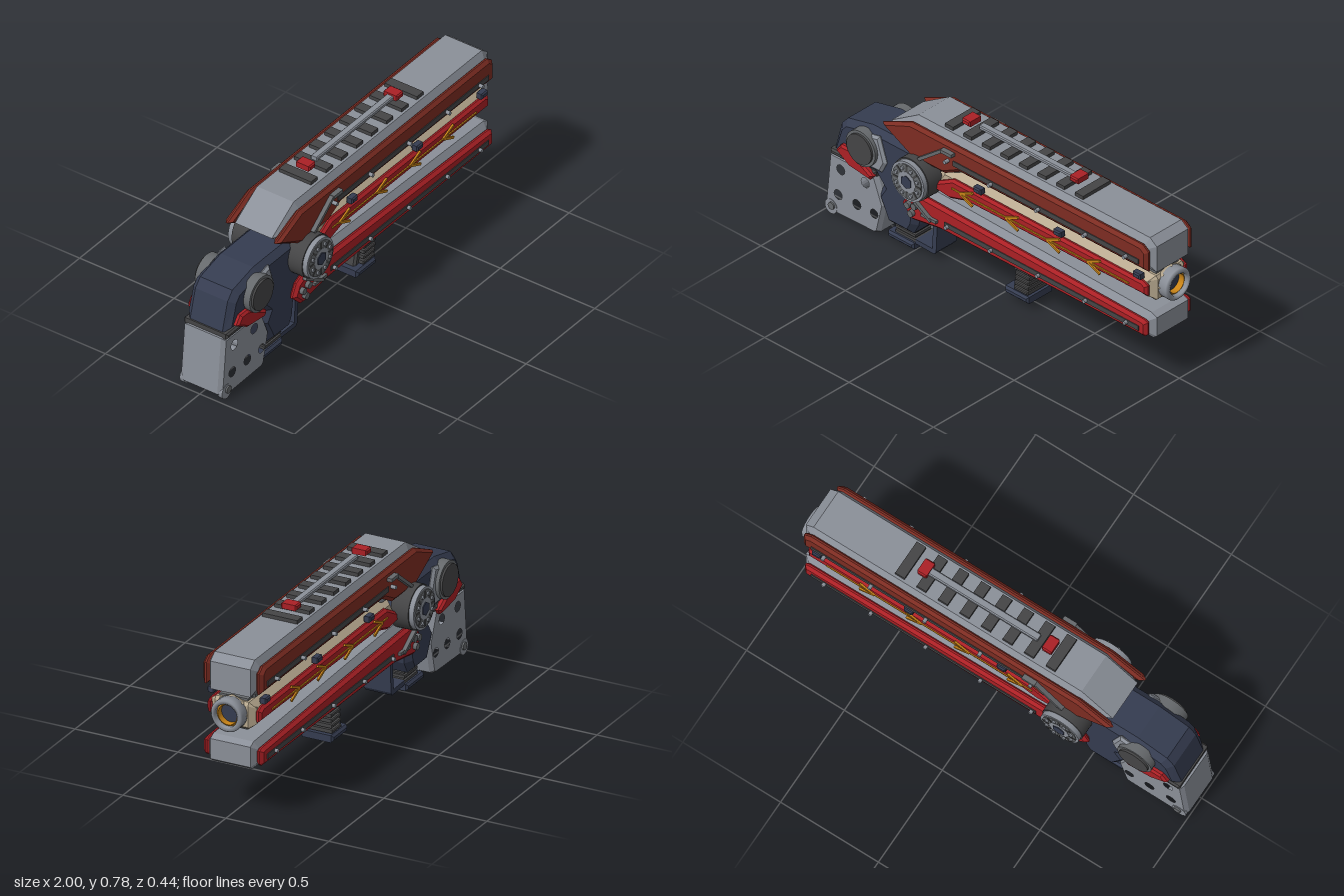
import * as THREE from 'three';

const paint = (name, color) => Object.assign(new THREE.MeshStandardMaterial({ color }), { name });

export function createModel() {
  const root = new THREE.Group();
  root.name = 'heavyLauncher';
  const grey = paint('steelGrey', 0x8b9099);
  const dark = paint('darkRubber', 0x454546);
  const navy = paint('navy', 0x353c50);
  const red = paint('red', 0xab2025);
  const rust = paint('rustRed', 0x7d2c22);
  const beige = paint('beige', 0xb9aa90);
  const orange = paint('orange', 0xc98417);
  const gunmetal = paint('gunmetal', 0x66696c);

  const add = (name, geo, mat, x = 0, y = 0, z = 0) => {
    const m = new THREE.Mesh(geo, mat);
    m.name = name;
    m.position.set(x, y, z);
    root.add(m);
    return m;
  };
  // Bevelled side profile between depths z0 and z1; the outline is the outermost size
  const profile = (name, pts, mat, z0, z1, bevel = 0, bevelDepth = bevel, holes = []) => {
    const shape = new THREE.Shape(pts.map(p => new THREE.Vector2(...p)));
    for (const [x, y, r] of holes) {
      const h = new THREE.Path();
      h.absarc(x, y, r, 0, Math.PI * 2, true);
      shape.holes.push(h);
    }
    const geo = new THREE.ExtrudeGeometry(shape, {
      depth: z1 - z0 - 2 * bevelDepth, bevelEnabled: bevel > 0, bevelSize: bevel,
      bevelThickness: bevelDepth, bevelOffset: -bevel, bevelSegments: 1, curveSegments: 10,
    });
    return add(name, geo, mat, 0, 0, z0 + bevelDepth);
  };
  const both = (fn, z0, z1) => { fn(z0, z1); fn(-z1, -z0); };
  const sidePlates = (name, pts, mat, z0, z1, bevel = 0, depth = bevel) =>
    both((a, b) => profile(name, pts, mat, a, b, bevel, depth), z0, z1);
  const rect = (x0, x1, y0, y1) => [[x0, y0], [x1, y0], [x1, y1], [x0, y1]];
  const block = (name, x0, x1, y0, y1, w, mat, bevel = 0) =>
    profile(name, rect(x0, x1, y0, y1), mat, -w, w, bevel);
  // Straight strip between two points on both sides
  const strip = (name, ax, ay, bx, by, t, mat, z0, z1) => {
    const l = Math.hypot(bx - ax, by - ay), nx = -(by - ay) / l * t / 2, ny = (bx - ax) / l * t / 2;
    sidePlates(name, [[ax - nx, ay - ny], [bx - nx, by - ny], [bx + nx, by + ny], [ax + nx, ay + ny]], mat, z0, z1);
  };
  // Cylinder along z on both sides
  const disc = (name, x, y, r, mat, z0, z1, sides = 32) => both((a, b) => {
    add(name, new THREE.CylinderGeometry(r, r, b - a, sides).rotateX(Math.PI / 2), mat, x, y, (a + b) / 2);
  }, z0, z1);

  // Upper body and armour
  profile('upperBody', [[-0.61, 0.64], [-0.45, 0.74], [0.92, 0.74], [0.96, 0.71], [0.96, 0.58],
    [-0.15, 0.58], [-0.24, 0.54], [-0.48, 0.54]], grey, -0.117, 0.117, 0.035, 0.02);
  sidePlates('upperArmour', [[-0.63, 0.638], [-0.46, 0.716], [0.91, 0.716], [0.945, 0.69], [0.945, 0.593],
    [-0.17, 0.593], [-0.26, 0.545], [-0.46, 0.545]], rust, 0.11, 0.146, 0.016, 0.014);
  strip('upperGroove', -0.2, 0.63, 0.9, 0.63, 0.025, dark, 0.143, 0.15);
  strip('upperBrace', -0.39, 0.57, -0.25, 0.678, 0.015, gunmetal, 0.146, 0.166);
  strip('upperBraceEnd', -0.255, 0.678, -0.19, 0.678, 0.016, gunmetal, 0.146, 0.17);

  // Lower body and armour
  profile('lowerBody', [[-0.46, 0.3], [-0.42, 0.396], [-0.3, 0.394], [0.93, 0.36], [0.96, 0.345], [0.96, 0.25],
    [0.94, 0.235], [-0.3, 0.235], [-0.42, 0.22]], grey, -0.117, 0.117, 0.03, 0.02);
  sidePlates('lowerArmour', [[-0.51, 0.28], [-0.48, 0.34], [-0.42, 0.37], [0.92, 0.335], [0.94, 0.325],
    [0.94, 0.265], [0.925, 0.252], [-0.28, 0.247], [-0.45, 0.22]], red, 0.11, 0.146, 0.014);
  strip('lowerGroove', -0.25, 0.293, 0.9, 0.288, 0.024, dark, 0.143, 0.15);
  strip('lowerBrace', -0.45, 0.36, -0.32, 0.28, 0.014, gunmetal, 0.146, 0.165);
  strip('lowerBraceEnd', -0.38, 0.287, -0.29, 0.287, 0.014, gunmetal, 0.146, 0.16);
  for (const [x, y] of [[-0.46, 0.3], [-0.42, 0.31], [-0.44, 0.265]])
    disc('lowerBolt', x, y, 0.016, gunmetal, 0.14, 0.164, 12);
  for (const x of [-0.23, 0.03, 0.31, 0.59, 0.83]) {
    disc('upperRivet', x, 0.63, 0.009, grey, 0.14, 0.17, 10);
    disc('lowerRivet', x, 0.29, 0.009, grey, 0.14, 0.165, 10);
  }

  // Barrel housing with painted side strips
  profile('barrelHousing', [[-0.36, 0.45], [-0.3, 0.545], [0.94, 0.545], [0.95, 0.53], [0.95, 0.43],
    [0.94, 0.42], [-0.33, 0.42]], beige, -0.11, 0.11, 0.03);
  for (const [y0, y1] of [[0.543, 0.555], [0.41, 0.422]])
    block('housingSpine', -0.3, 0.93, y0, y1, 0.07, gunmetal);
  for (const x of [-0.12, 0.24, 0.61, 0.87])
    block('housingLug', x - 0.02, x + 0.02, 0.408, 0.567, 0.08, gunmetal, 0.008);
  sidePlates('barrelStripe', [[-0.33, 0.43], [-0.32, 0.47], [-0.22, 0.525], [0.9, 0.52], [0.93, 0.505],
    [0.93, 0.455], [-0.14, 0.45], [-0.24, 0.42]], red, 0.1, 0.132, 0.012);
  strip('arrowLine', -0.22, 0.485, 0.83, 0.481, 0.007, orange, 0.131, 0.137);
  for (const x of [-0.17, 0.1, 0.345, 0.585])
    for (const s of [-1, 1])
      strip('arrowHead', x, 0.483, x + 0.075, 0.483 + s * 0.033, 0.011, orange, 0.131, 0.14);
  for (const x of [-0.065, 0.41, 0.88])
    sidePlates('barrelClip', rect(x - 0.022, x + 0.022, 0.532, 0.56), navy, 0.108, 0.144, 0.006);

  // Muzzle: hollow ring with glowing inner lip
  const ring = (name, r0, r1, x0, x1, mat, sides) => {
    const pts = [[r0, x0], [r1, x0], [r1, x1 - 0.008], [r1 - 0.008, x1], [r0, x1], [r0, x0]]
      .map(p => new THREE.Vector2(...p));
    add(name, new THREE.LatheGeometry(pts, sides).rotateZ(-Math.PI / 2), mat, 0, 0.487, 0);
  };
  ring('muzzleCollar', 0.055, 0.079, 0.935, 0.965, beige, 8);
  ring('muzzleRing', 0.054, 0.077, 0.95, 1.0, grey, 40);
  ring('muzzleLip', 0.045, 0.056, 0.94, 0.985, orange, 40);
  add('muzzleBore', new THREE.CylinderGeometry(0.048, 0.048, 0.012, 32).rotateZ(Math.PI / 2), navy, 0.949, 0.487, 0);

  // Receiver
  profile('receiver', [[-0.955, 0.335], [-0.915, 0.48], [-0.88, 0.52], [-0.73, 0.555], [-0.48, 0.555],
    [-0.38, 0.5], [-0.34, 0.42], [-0.38, 0.34], [-0.45, 0.24], [-0.46, 0.16], [-0.49, 0.105],
    [-0.63, 0.105], [-0.69, 0.23], [-0.66, 0.28], [-0.7, 0.325]], navy, -0.113, 0.113, 0.028);
  block('stockSeam', -0.96, -0.69, 0.315, 0.342, 0.116, dark, 0.008);
  sidePlates('shoulderBracket', [[-0.75, 0.36], [-0.65, 0.36], [-0.62, 0.42], [-0.66, 0.54], [-0.75, 0.52]],
    grey, 0.1, 0.128, 0.012);
  disc('shoulderDisc', -0.75, 0.45, 0.087, gunmetal, 0.1, 0.145);
  disc('shoulderCap', -0.75, 0.45, 0.074, dark, 0.1, 0.155);
  sidePlates('shoulderFlash', [[-0.91, 0.365], [-0.88, 0.405], [-0.83, 0.405], [-0.69, 0.325], [-0.71, 0.3],
    [-0.83, 0.315]], red, 0.1, 0.136, 0.01);

  // Pivot wheels
  const wx = -0.41, wy = 0.468;
  disc('wheelHub', wx, wy, 0.103, dark, 0.1, 0.186, 40);
  disc('wheelRim', wx, wy, 0.097, grey, 0.186, 0.209, 40);
  disc('wheelFace', wx, wy, 0.086, gunmetal, 0.2, 0.213, 40);
  disc('wheelInner', wx, wy, 0.05, grey, 0.205, 0.215, 24);
  disc('wheelNut', wx, wy, 0.032, navy, 0.205, 0.219, 6);
  for (let i = 0; i < 8; i++) {
    const a = (i + 0.5) * Math.PI / 4;
    disc('wheelBolt', wx + 0.067 * Math.cos(a), wy + 0.067 * Math.sin(a), 0.009, grey, 0.205, 0.22, 8);
    const b = i * Math.PI / 4;
    strip('wheelSpoke', wx + 0.05 * Math.cos(b), wy + 0.05 * Math.sin(b),
      wx + 0.084 * Math.cos(b), wy + 0.084 * Math.sin(b), 0.01, dark, 0.211, 0.215);
  }

  // Shoulder stock pierced by round holes
  profile('stock', [[-0.97, 0.32], [-0.7, 0.32], [-0.645, 0.18], [-0.68, 0.03], [-0.7, 0.018], [-0.96, 0.012],
    [-0.997, 0.04]], grey, -0.11, 0.11, 0.012, 0.02,
  [[-0.9, 0.255, 0.036], [-0.755, 0.255, 0.036], [-0.915, 0.12, 0.036], [-0.805, 0.12, 0.036], [-0.702, 0.12, 0.034]]);
  disc('stockPivot', -0.957, 0.042, 0.036, grey, 0.09, 0.112, 20);
  disc('stockPin', -0.95, 0.05, 0.018, gunmetal, 0.1, 0.12, 12);

  // Rear grip and trigger guard
  block('rearGrip', -0.61, -0.51, 0.035, 0.115, 0.055, dark);
  for (let i = 0; i < 3; i++) block('rearGripRib', -0.62, -0.5, 0.045 + i * 0.024, 0.058 + i * 0.024, 0.065, dark);
  block('rearGripBase', -0.655, -0.5, 0.01, 0.042, 0.08, navy, 0.01);
  profile('triggerGuard', [[-0.5, 0.038], [-0.39, 0.034], [-0.378, 0.05], [-0.37, 0.225], [-0.45, 0.225],
    [-0.45, 0.205], [-0.396, 0.2], [-0.4, 0.058], [-0.5, 0.06]], navy, -0.065, 0.065);
  strip('trigger', -0.47, 0.19, -0.45, 0.11, 0.02, gunmetal, 0, 0.012);

  // Front grip
  profile('frontGripMount', [[0.03, 0.235], [0.22, 0.235], [0.21, 0.205], [0.17, 0.195], [0.16, 0.18],
    [0.09, 0.18], [0.08, 0.21]], gunmetal, -0.075, 0.075, 0.01);
  profile('frontGrip', [[0.06, 0.07], [0.155, 0.07], [0.165, 0.21], [0.09, 0.21]], dark, -0.048, 0.048, 0.01);
  for (let i = 0; i < 5; i++) {
    const y = 0.083 + i * 0.026, x = 0.003 * i;
    block('frontGripRib', 0.09 + x, 0.172 + x, y, y + 0.017, 0.076, dark, 0.004);
  }
  block('frontGripBase', 0.038, 0.178, 0.042, 0.076, 0.08, navy, 0.01);

  // Top rail
  for (let i = 0; i < 8; i++) {
    const x = -0.283 + i * 0.11;
    block('railSlat', x - 0.024, x + 0.024, 0.735, 0.757, 0.085, dark);
  }
  block('railBar', -0.17, 0.4, 0.755, 0.776, 0.018, grey, 0.005);
  for (const x of [-0.23, 0.408]) block('railSight', x - 0.024, x + 0.024, 0.757, 0.784, 0.038, red, 0.006);

  return root;
}
